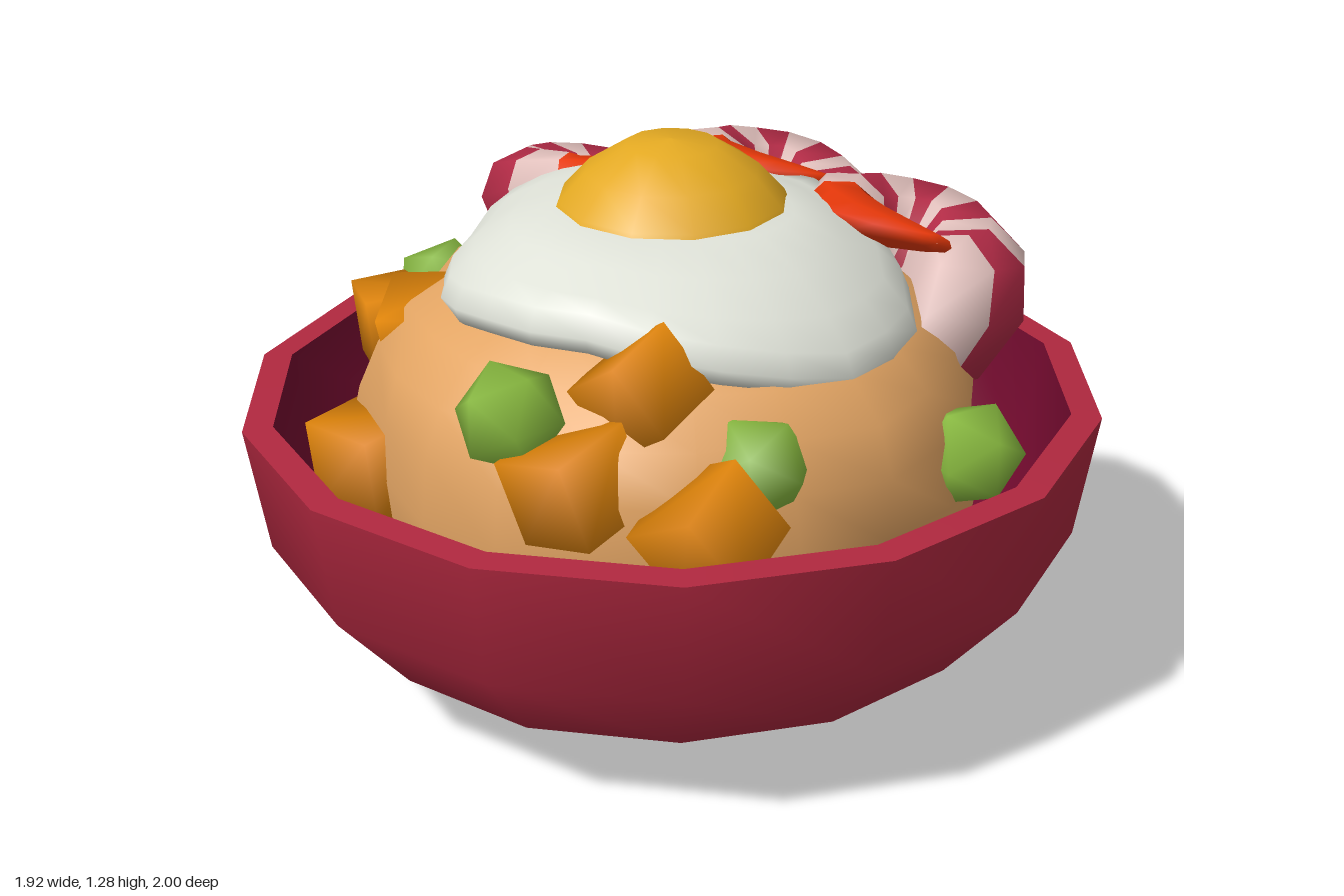
import * as THREE from 'three';
import { mergeVertices } from 'three/addons/utils/BufferGeometryUtils.js';

const mat = (name, color, side = THREE.FrontSide) => {
  const m = new THREE.MeshStandardMaterial({ color, side });
  m.name = name;
  return m;
};
const V = (x, y, z) => new THREE.Vector3(x, y, z);
const lerp = THREE.MathUtils.lerp;

// Smooth skin over closed rings of points; groupOf(i) picks the material of band i
function loft(rings, groupOf = null) {
  const n = rings[0].length, index = [];
  const g = new THREE.BufferGeometry().setFromPoints(rings.flat());
  for (let i = 0; i < rings.length - 1; i++) {
    for (let j = 0; j < n; j++) {
      const a = i * n + j, b = i * n + (j + 1) % n;
      index.push(a, b, a + n, b, b + n, a + n);
    }
    if (groupOf) g.addGroup(i * n * 6, n * 6, groupOf(i));
  }
  g.setIndex(index);
  g.computeVertexNormals();
  return g;
}

function lathe(points, sides) {
  return new THREE.LatheGeometry(points.map(p => new THREE.Vector2(p[0], p[1])), sides);
}

// Joins duplicate corners so the shading is smooth
function smooth(g) {
  g.deleteAttribute('uv');
  g.deleteAttribute('normal');
  const m = mergeVertices(g, 1e-3);
  m.computeVertexNormals();
  return m;
}

// Rice mound: a steep dome with a lumpy surface
function riceGeometry() {
  const g = lathe([[0.6, 0.18], [0.69, 0.35], [0.72, 0.55], [0.705, 0.7], [0.66, 0.81],
    [0.58, 0.9], [0.44, 0.98], [0.2, 1.05], [0, 1.06]], 20);
  const p = g.attributes.position;
  for (let i = 0; i < p.count; i++) {
    const x = p.getX(i), y = p.getY(i), z = p.getZ(i);
    const k = 1 + 0.03 * Math.sin(9 * x + 5 * y) * Math.cos(8 * z - 4 * y) + 0.03 * Math.sin(17 * z + 13 * x + 6 * y);
    p.setXYZ(i, x * k, y, z * k);
  }
  return smooth(g);
}

// Egg white: a draped cap with a wavy, thick rim
function eggWhiteGeometry() {
  const radius = [0.6, 0.57, 0.54, 0.53, 0.53, 0.52, 0.57, 0.55, 0.5, 0.46, 0.5, 0.58];
  const edge = [0.86, 0.92, 0.97, 0.95, 0.9, 0.9, 0.95, 0.95, 0.97, 1.0, 0.95, 0.86];
  const n = 24;
  const at = (list, j) => j % 2 ? (list[(j - 1) / 2] + list[((j + 1) / 2) % 12]) / 2 : list[j / 2];
  const rows = [
    [0, () => 1.14], [0.5, () => 1.135], [0.7, e => lerp(1.11, e + 0.13, 0.25)],
    [0.86, e => lerp(1.06, e + 0.11, 0.55)], [0.96, e => e + 0.085], [1, e => e + 0.035],
    [0.98, e => e], [0.85, e => e + 0.03],
  ];
  return loft(rows.map(([f, height]) => Array.from({ length: n }, (_, j) => {
    const a = j / n * Math.PI * 2, r = at(radius, j) * f;
    return V(Math.cos(a) * r, height(at(edge, j)), Math.sin(a) * r);
  })));
}

// Curled prawn: striped tapering body with a deep underside, then a flat tail
function prawnGeometry() {
  const R = 0.17, bands = 9, sides = 8, rings = [];
  const ring = (x, y, z, t, wide, top, bottom) => rings.push(Array.from({ length: sides }, (_, j) => {
    const f = j / sides * Math.PI * 2, w = Math.cos(f) * wide, s = Math.sin(f);
    return V(x + Math.cos(t) * w, y - s * (s > 0 ? bottom : top), z - Math.sin(t) * w);
  }));
  for (let i = 0; i <= bands; i++) {
    const k = i / bands, t = THREE.MathUtils.degToRad(lerp(-25, 240, k));
    const x = R * Math.cos(t), z = -R * Math.sin(t);
    const y = -0.13 * Math.max(0, 1 - k / 0.5);
    const wide = lerp(0.16, 0.095, k * k), top = lerp(0.17, 0.08, k * k), bottom = lerp(0.24, 0.09, k * k);
    if (i === 0) ring(x, y, z, t, 0.001, 0.001, 0.001);
    ring(x, y, z, t, wide, top, bottom);
  }
  const t = Math.PI * 1.5;
  ring(-0.06, 0, 0.15, t, 0.105, 0.07, 0.07);
  ring(0.04, 0.01, 0.155, t, 0.115, 0.05, 0.05);
  ring(0.14, 0.02, 0.145, t, 0.1, 0.035, 0.035);
  ring(0.22, 0.03, 0.12, t, 0.05, 0.02, 0.02);
  ring(0.222, 0.03, 0.12, t, 0.001, 0.001, 0.001);
  return loft(rings, i => i > bands ? 2 : i === 0 ? 0 : (i - 1) % 2);
}

export function createModel() {
  const group = new THREE.Group();
  const bowlRed = mat('bowl red', 0xb0283f);
  const bowlInside = mat('bowl inside', 0x700a2d);
  const rice = mat('fried rice', 0xe2a463);
  const white = mat('egg white', 0xe0e3d9, THREE.DoubleSide);
  const yolkYellow = mat('yolk yellow', 0xe3a922);
  const pink = mat('prawn pink', 0xe2c1bd);
  const crimson = mat('prawn crimson', 0xb22b46);
  const tail = mat('prawn tail', 0xea390a);
  const green = mat('pea green', 0x86b63e);
  const orange = mat('carrot orange', 0xea8b0c);

  const add = (name, geometry, material, pos = [0, 0, 0], rot = [0, 0, 0]) => {
    const m = new THREE.Mesh(geometry, material);
    m.name = name;
    m.position.set(...pos);
    m.rotation.set(rot[0], rot[1], rot[2], 'YXZ');
    group.add(m);
    return m;
  };

  // Bowl with fourteen sides, slightly oval
  [
    ['bowlOutside', [[0, 0], [0.21, 0.005], [0.49, 0.05], [0.77, 0.175], [0.95, 0.38], [1, 0.675]], bowlRed],
    ['bowlRim', [[1, 0.675], [0.93, 0.68]], bowlRed],
    ['bowlInside', [[0.93, 0.68], [0.88, 0.4], [0.71, 0.23], [0.44, 0.11], [0, 0.08]], bowlInside],
  ].forEach(([name, profile, material]) => add(name, lathe(profile, 14).scale(0.987, 1, 1), material));

  // Rice and fried egg
  add('riceMound', riceGeometry(), rice);
  add('eggWhite', eggWhiteGeometry(), white);
  add('yolk', lathe([[0.275, 1.11], [0.26, 1.145], [0.2, 1.21], [0.105, 1.27], [0, 1.28]], 12), yolkYellow);

  // Prawns leaning on the back of the mound: x, y, z, yaw
  const prawn = prawnGeometry();
  [[0.22, 0.97, -0.54, -0.12], [-0.27, 0.97, -0.56, 0.2], [-0.54, 0.96, -0.22, 1.05]].forEach(([x, y, z, yaw]) =>
    add('prawn', prawn, [pink, crimson, tail], [x, y, z], [-0.45, yaw, 0]));

  // Peas
  const pea = smooth(new THREE.IcosahedronGeometry(0.125, 0));
  [[0.2, 0.85, 0.62], [0.57, 0.75, 0.25], [0.67, 0.65, -0.3], [-0.6, 0.79, 0.21]].forEach((p, i) =>
    add('pea', pea, green, p, [0, i * 0.7, 0]));

  // Diced carrot: position, rotation, size
  [
    [[0.38, 0.91, 0.41], [0.3, 0.2, 0.6], 0.18],
    [[0.35, 0.73, 0.57], [0.2, 0.15, 0.25], 0.2],
    [[0.6, 0.66, 0.41], [0.4, 0.3, 0.5], 0.2],
    [[-0.37, 0.82, 0.42], [0.3, 0.7, 0.1], 0.18],
    [[-0.59, 0.75, 0.35], [0.1, -0.4, 0.05], 0.18],
    [[-0.33, 0.56, 0.61], [0.1, 0.1, 0.05], 0.21],
  ].forEach(([p, r, s]) => add('carrotCube', smooth(new THREE.BoxGeometry(s, s, s)), orange, p, r));

  return group;
}
